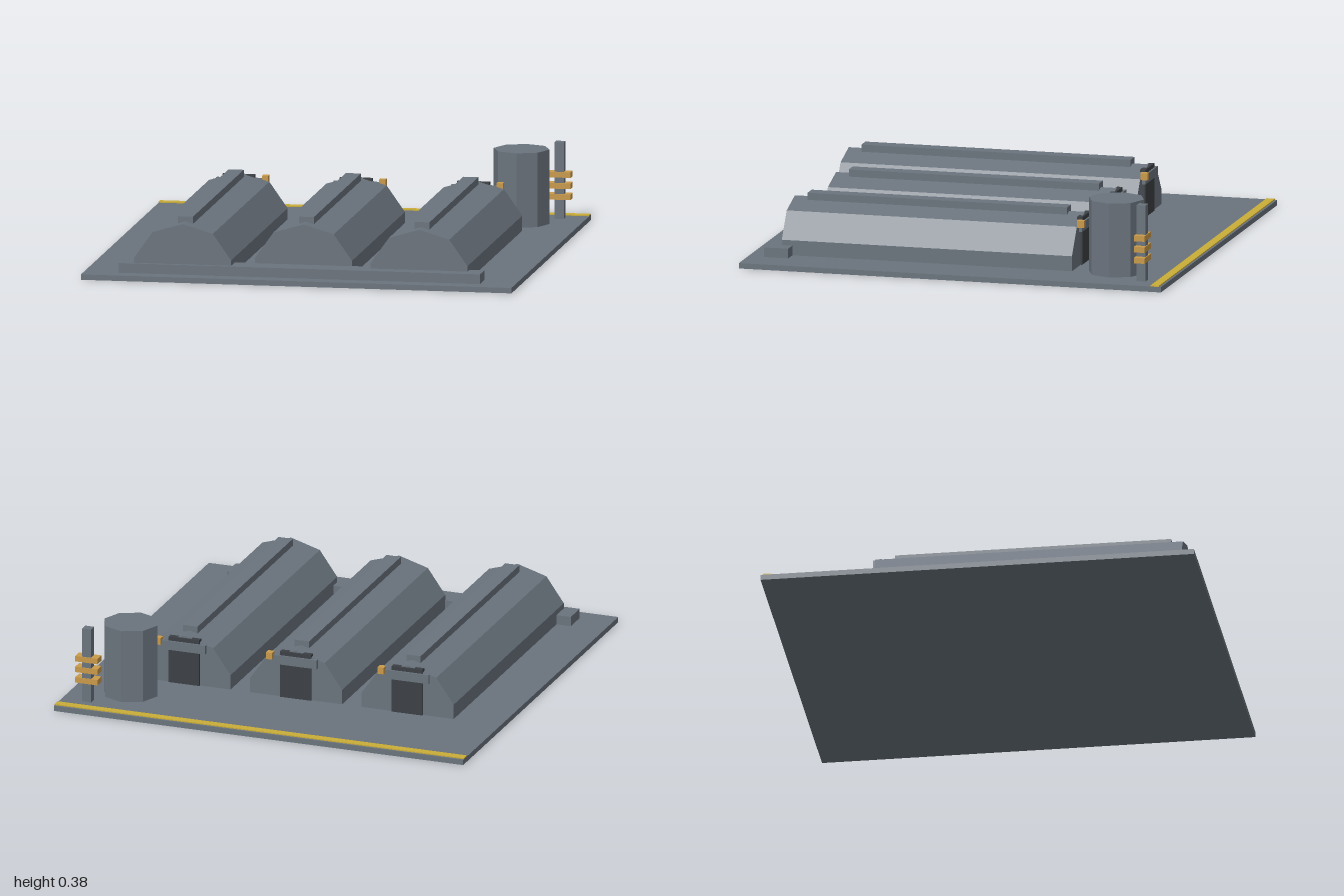
import * as THREE from 'three';

export function createModel() {
  const model = new THREE.Group();
  model.name = 'bunkerCompound';

  const material = (name, color) => {
    const m = new THREE.MeshStandardMaterial({ color });
    m.name = name;
    return m;
  };
  const concrete = material('concrete', 0x6a737d);
  const dark = material('darkSteel', 0x3b3f43);
  const amber = material('amber', 0xc99a4a);
  const yellow = material('hazardYellow', 0xc9ac38);

  const add = (parent, name, geometry, mat) => {
    const mesh = new THREE.Mesh(geometry, mat);
    mesh.name = name;
    parent.add(mesh);
    return mesh;
  };
  // Box given by its extents on each axis
  const box = (parent, name, mat, [x0, x1], [y0, y1], [z0, z1]) => {
    const mesh = add(parent, name, new THREE.BoxGeometry(x1 - x0, y1 - y0, z1 - z0), mat);
    mesh.position.set((x0 + x1) / 2, (y0 + y1) / 2, (z0 + z1) / 2);
    return mesh;
  };

  const ground = 0.025;
  const back = -0.515;

  // Ground slab, painted edge line and front sill
  box(model, 'slab', concrete, [-1, 1], [0, ground], [-1, 1]);
  box(model, 'edgeLine', yellow, [-1, 1], [ground, 0.03], [-0.99, -0.95]);
  box(model, 'frontSill', concrete, [-0.84, 0.84], [ground, 0.07], [0.81, 0.925]);

  // Faceted vault cross-section
  const profile = new THREE.Shape([
    [-0.225, ground], [0.225, ground], [0.225, 0.095], [0.14, 0.215],
    [0, 0.257], [-0.14, 0.215], [-0.225, 0.095],
  ].map(([x, y]) => new THREE.Vector2(x, y)));

  // Three bunkers of different lengths
  [[-0.545, 0.905], [0, 0.815], [0.545, 0.86]].forEach(([x, front], i) => {
    const bunker = new THREE.Group();
    bunker.name = `bunker${i + 1}`;
    bunker.position.x = x;
    model.add(bunker);

    const vault = new THREE.ExtrudeGeometry(profile, { depth: front - back, bevelEnabled: false });
    add(bunker, 'vault', vault, concrete).position.z = back;
    box(bunker, 'ridge', concrete, [-0.035, 0.035], [0.24, 0.28], [-0.44, front - 0.07]);
    box(bunker, 'door', dark, [-0.075, 0.075], [ground, 0.247], [-0.523, -0.497]);
    box(bunker, 'lintel', concrete, [-0.107, 0.107], [0.185, 0.228], [-0.531, back]);
    box(bunker, 'lamp', amber, [0.105, 0.135], [0.21, 0.242], [-0.547, -0.514]);
  });

  // Octagonal tank
  const tank = new THREE.CylinderGeometry(0.13, 0.13, 0.345, 8).toNonIndexed();
  tank.computeVertexNormals();
  add(model, 'tank', tank, concrete).position.set(0.73, ground + 0.1725, -0.715);

  // Mast with three amber collars
  const mast = new THREE.Group();
  mast.name = 'mast';
  model.add(mast);
  box(mast, 'mastPost', concrete, [0.856, 0.9], [ground, 0.38], [-0.9, -0.858]);
  for (const y of [0.127, 0.178, 0.23]) {
    box(mast, 'mastCollar', amber, [0.823, 0.932], [y - 0.013, y + 0.013], [-0.904, -0.853]);
  }

  return model;
}
